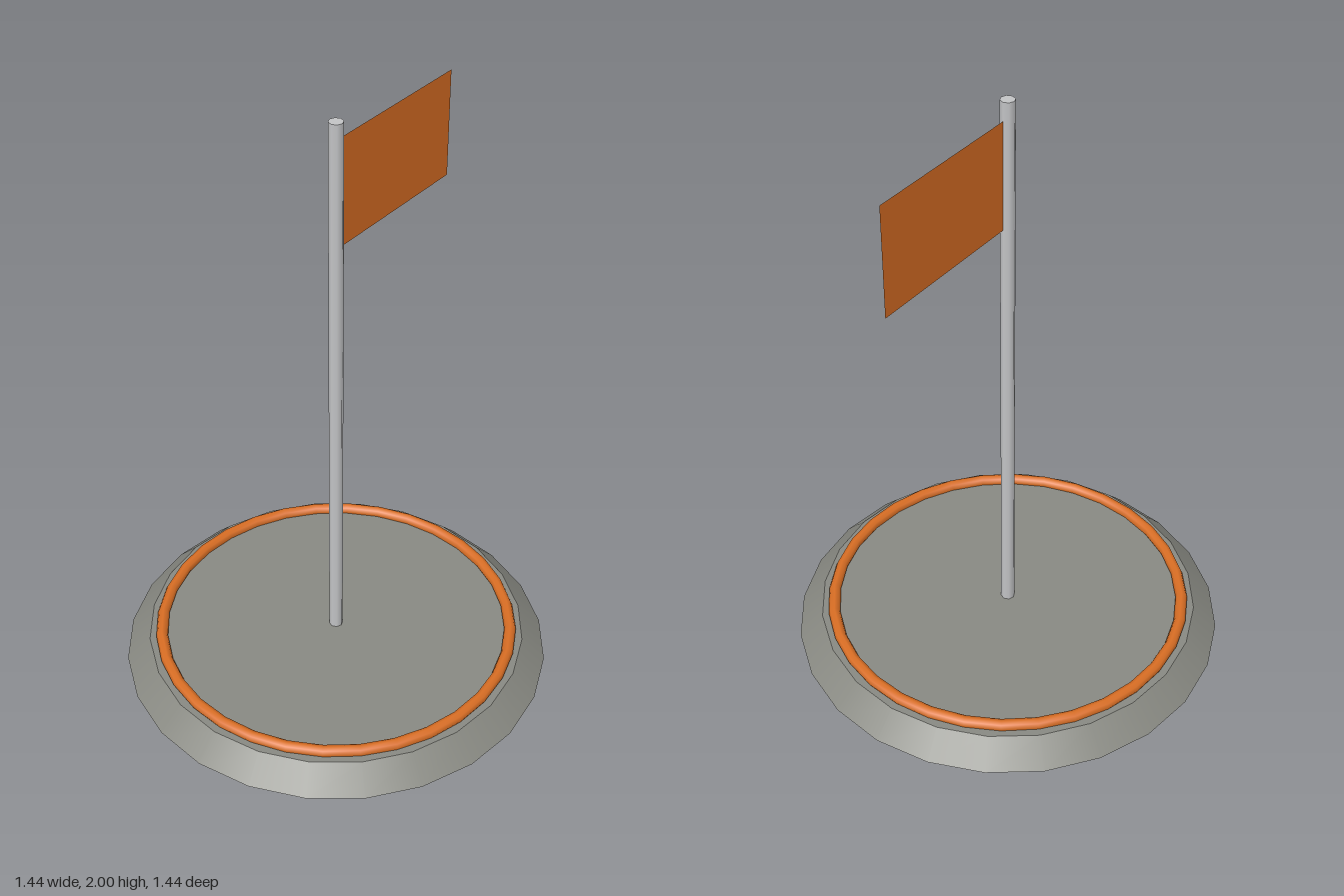
import * as THREE from 'three';

const material = (name, color, extra = {}) => {
  const m = new THREE.MeshStandardMaterial({ color, ...extra });
  m.name = name;
  return m;
};

export function createModel() {
  const group = new THREE.Group();
  group.name = 'flagOnBase';
  const stone = material('stone grey', 0x888982);
  const metal = material('pale metal', 0xc2c3c5);
  const orange = material('orange', 0xd96e24, { side: THREE.DoubleSide });

  const add = (name, geometry, mat, x, y, z) => {
    const mesh = new THREE.Mesh(geometry, mat);
    mesh.name = name;
    mesh.position.set(x, y, z);
    group.add(mesh);
    return mesh;
  };

  // Round base with sloping rim
  add('base', new THREE.CylinderGeometry(0.64, 0.72, 0.08, 24), stone, 0, 0.04, 0);

  // Ring lying on the base
  add('ring', new THREE.TorusGeometry(0.598, 0.02, 8, 32).rotateX(Math.PI / 2), orange, 0, 0.088, 0);

  // Pole through the base to the ground
  add('pole', new THREE.CylinderGeometry(0.023, 0.023, 2, 8), metal, 0, 1, 0);

  // Thin flag on the left side of the pole
  add('flag', new THREE.PlaneGeometry(0.55, 0.36), orange, 0.295, 1.76, 0);

  return group;
}
